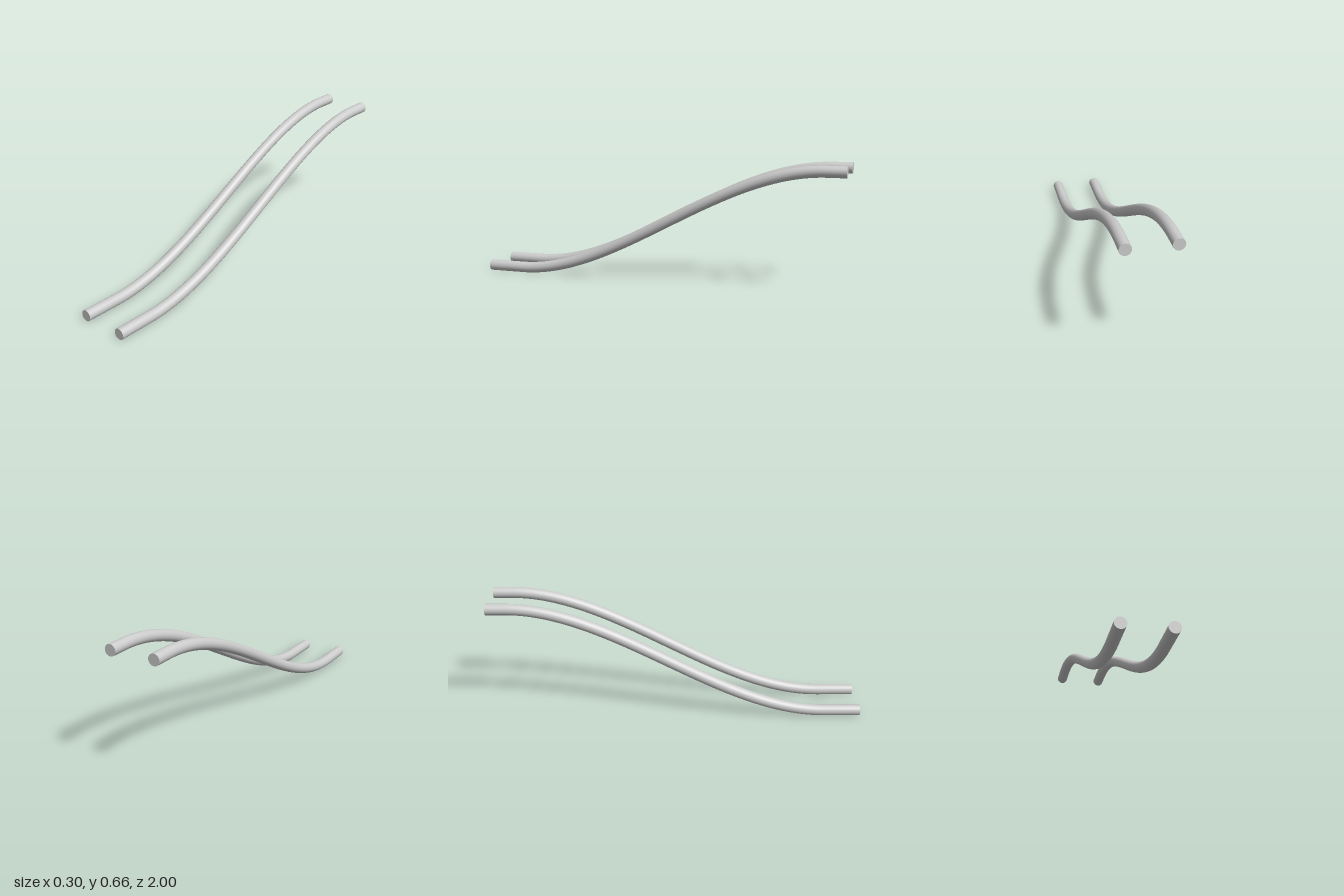
import * as THREE from 'three';

const R = 0.03, SIDES = 32;

export function createModel() {
  const group = new THREE.Group();
  group.name = 'pairOfRails';
  const material = new THREE.MeshStandardMaterial({ color: 0xcccccc });
  const v = (y, z) => new THREE.Vector3(0, y, z);

  // S-shaped centre line: flat foot, smooth rise, short flat top
  const low = 0.03, high = 0.63, z0 = 0.8, z1 = -0.9, third = (z0 - z1) / 3;
  const path = new THREE.CurvePath();
  path.add(new THREE.LineCurve3(v(low, 1), v(low, z0)));
  path.add(new THREE.CubicBezierCurve3(v(low, z0), v(low, z0 - third), v(high, z1 + third), v(high, z1)));
  path.add(new THREE.LineCurve3(v(high, z1), v(high, -1)));

  const tube = new THREE.TubeGeometry(path, 96, R, SIDES, false);
  const cap = new THREE.CircleGeometry(R, SIDES);

  // One rail per side, each closed by flat end caps
  for (const [side, x] of [['left', 0.12], ['right', -0.12]]) {
    const rail = new THREE.Group();
    rail.name = side + 'Rail';
    rail.position.x = x;
    const bar = new THREE.Mesh(tube, material);
    bar.name = side + 'Bar';
    const front = new THREE.Mesh(cap, material);
    front.name = side + 'FrontCap';
    front.position.set(0, low, 1);
    const back = new THREE.Mesh(cap, material);
    back.name = side + 'BackCap';
    back.position.set(0, high, -1);
    back.rotation.y = Math.PI;
    rail.add(bar, front, back);
    group.add(rail);
  }
  return group;
}
